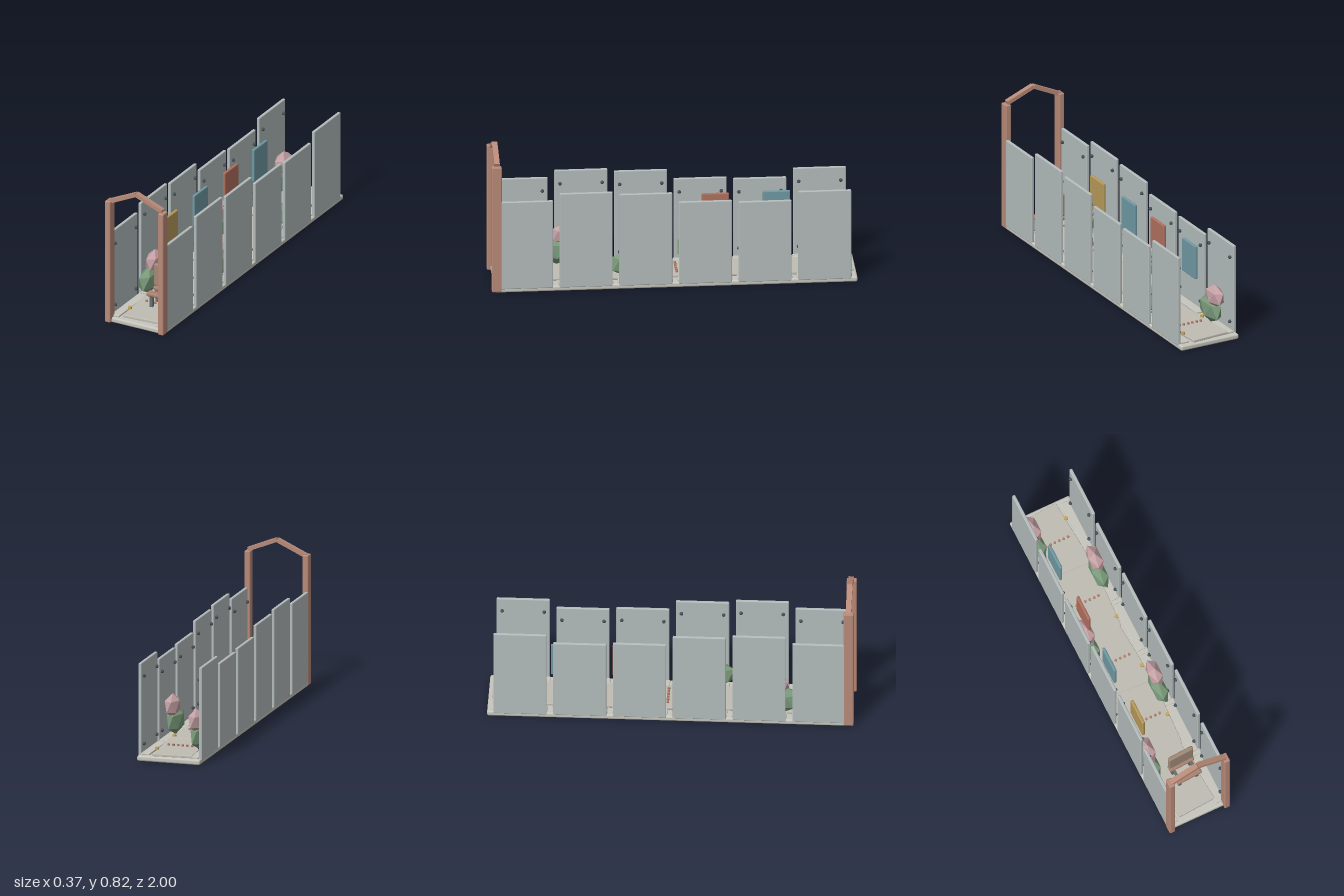
import * as THREE from 'three';
import { RoundedBoxGeometry } from 'three/addons/geometries/RoundedBoxGeometry.js';

const mat = (color, flatShading = false) => {
  const m = new THREE.MeshStandardMaterial({ flatShading });
  m.color.set(color);
  return m;
};
const M = {
  post: mat(0xb88a78), panel: mat(0xb4bcbc), base: mat(0xc6c6bd), slab: mat(0xc0bcb4),
  bolt: mat(0x4a5256), leg: mat(0x66706f), wood: mat(0xa08a78), seat: mat(0xa98270),
  leaf: mat(0x7a9a7a, true), bloom: mat(0xc4a0a4, true), lamp: mat(0xc8a660),
  stud: mat(0xb47f6c), teal: mat(0x6f99a3), red: mat(0xb0705f), yellow: mat(0xb79a5a),
};

export function createModel() {
  const root = new THREE.Group();

  const add = (name, geo, material, x, y, z, parent = root) => {
    const mesh = new THREE.Mesh(geo, material);
    mesh.name = name;
    mesh.position.set(x, y, z);
    parent.add(mesh);
    return mesh;
  };
  const box = (name, w, h, d, r, material, x, y, z, parent) =>
    add(name, new RoundedBoxGeometry(w, h, d, 2, r), material, x, y, z, parent);

  // floor base
  box('floorBase', 0.36, 0.03, 1.98, 0.01, M.base, 0, 0.015, -0.01);

  // zigzag walkway slabs, each with a row of studs across its middle
  const studGeo = new THREE.CylinderGeometry(0.007, 0.007, 0.01, 10);
  for (let i = 0; i < 5; i++) {
    const z = -0.778 + i * 0.379;
    const even = i % 2 === 0;
    const slab = box('walkwaySlab', 0.222, 0.016, 0.4, 0.004, M.slab,
      even ? -0.003 : 0.003, 0.036 + (even ? 0 : 0.001), z);
    slab.rotation.y = even ? 0.07 : -0.05;
    for (let k = 0; k < 6; k++) {
      add('walkwayStud', studGeo, M.stud, -0.066 + k * 0.0265, 0.051, z);
    }
  }

  // side walls: panels of varied height, kerbs and corner bolts, mirrored
  const heights = [0.53, 0.57, 0.555, 0.5, 0.49, 0.54];
  const boltGeo = new THREE.SphereGeometry(0.01, 12, 8);
  for (const side of [-1, 1]) {
    heights.forEach((h, i) => {
      const z = 0.81 - i * 0.326;
      const wall = new THREE.Group();
      wall.name = 'wallPanel';
      root.add(wall);
      box('panel', 0.018, h - 0.02, 0.29, 0.005, M.panel, side * 0.173, (h + 0.02) / 2, z, wall);
      box('kerb', 0.05, 0.012, 0.3, 0.004, M.base, side * 0.14, 0.034, z, wall);
      for (const dz of [-0.115, 0.115]) {
        for (const y of [0.085, h - 0.075]) {
          add('bolt', boltGeo, M.bolt, side * 0.158, y, z + dz, wall);
        }
      }
    });
  }

  // entrance gate
  for (const side of [-1, 1]) {
    box('gatePost', 0.034, 0.731, 0.055, 0.007, M.post, side * 0.166, 0.3695, 0.972);
  }
  const beam = (x, y, len, angle) => {
    const b = add('gateBeam', new THREE.BoxGeometry(len, 0.022, 0.03), M.post, x, y, 0.97);
    b.rotation.z = angle;
  };
  beam(-0.082, 0.766, 0.182, 0.443);
  beam(0.083, 0.774, 0.176, -0.375);

  // hanging display boards
  [[M.yellow, 0.425, -0.098], [M.teal, 0.085, -0.104], [M.red, -0.245, -0.1], [M.teal, -0.58, -0.108]]
    .forEach(([m, z, x]) => {
      box('displayBoard', 0.017, 0.195, 0.15, 0.006, m, x, 0.3375, z);
    });

  // floor lamps, alternating sides
  const lampGeo = new THREE.CylinderGeometry(0.011, 0.011, 0.014, 14);
  for (let i = 0; i < 12; i++) {
    add('floorLamp', lampGeo, M.lamp, i % 2 ? -0.105 : 0.103, 0.05, -0.88 + i * 0.158);
  }

  // faceted shrubs with blossom on top
  const gem = new THREE.IcosahedronGeometry(1, 0);
  gem.rotateZ(Math.atan(2 / (1 + Math.sqrt(5))));
  const shrub = (x, z) => {
    const g = new THREE.Group();
    g.name = 'shrub';
    g.position.set(x, 0, z);
    root.add(g);
    add('foliage', gem, M.leaf, 0, 0.124, 0.02, g).scale.set(0.045, 0.081, 0.112);
    add('blossom', gem, M.bloom, 0.002, 0.215, -0.03, g).scale.set(0.043, 0.067, 0.085);
  };
  for (const z of [-0.82, -0.155, 0.6]) shrub(-0.115, z);
  for (const z of [-0.52, 0.22]) shrub(0.115, z);

  // bench
  const bench = new THREE.Group();
  bench.name = 'bench';
  bench.position.set(0.035, 0, 0.735);
  bench.rotation.y = 0.06;
  root.add(bench);
  box('seatFrontSlat', 0.152, 0.024, 0.045, 0.01, M.seat, 0, 0.122, 0.04, bench);
  box('seatBackSlat', 0.152, 0.024, 0.04, 0.01, M.seat, 0, 0.122, -0.042, bench);
  box('backrest', 0.152, 0.13, 0.024, 0.008, M.wood, 0, 0.2, -0.046, bench);
  for (const x of [-0.053, 0.053]) {
    for (const z of [-0.04, 0.035]) {
      box('benchLeg', 0.02, 0.076, 0.022, 0.004, M.leg, x, 0.078, z, bench);
    }
    box('benchRail', 0.016, 0.014, 0.1, 0.004, M.leg, x, 0.107, 0, bench);
  }

  return root;
}
